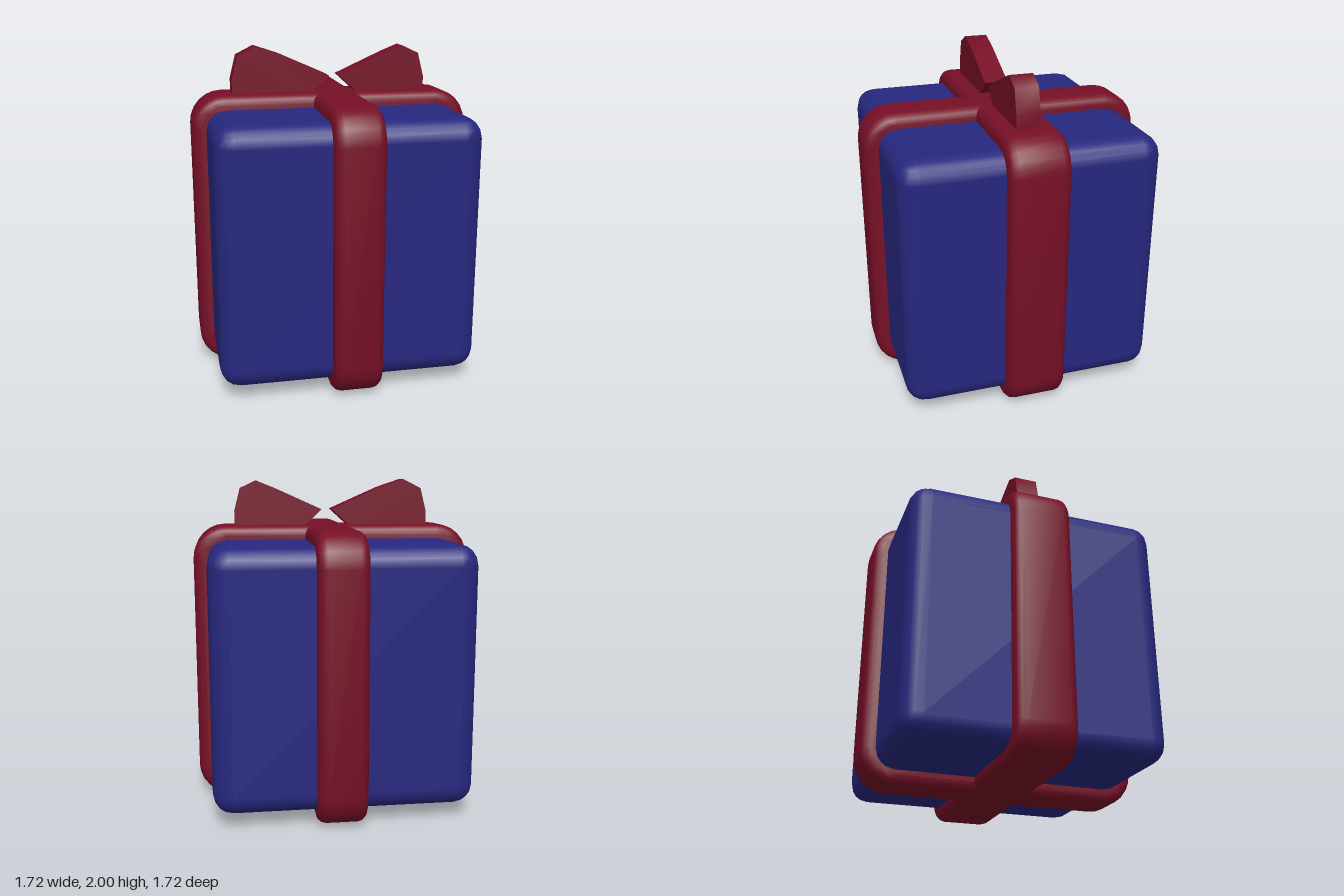
import * as THREE from 'three';
import { toCreasedNormals } from 'three/addons/utils/BufferGeometryUtils.js';
import { RoundedBoxGeometry } from 'three/addons/geometries/RoundedBoxGeometry.js';

const wrapBlue = new THREE.MeshStandardMaterial({ name: 'wrapBlue', color: 0x27277f });
const ribbonRed = new THREE.MeshStandardMaterial({ name: 'ribbonRed', color: 0x760f26 });

// Square outline with rounded corners, centred on the origin
function roundedSquare(half, radius) {
  const s = new THREE.Shape();
  const c = half - radius;
  [[1, 1], [-1, 1], [-1, -1], [1, -1]].forEach(([x, y], i) => {
    s.absarc(x * c, y * c, radius, i * Math.PI / 2, (i + 1) * Math.PI / 2, false);
  });
  return s;
}

// Ribbon wrapped round the box, soft along both edges
function ribbonBand(name, width) {
  const soft = 0.055;
  const geo = new THREE.ExtrudeGeometry(roundedSquare(0.86 - soft, 0.2 - soft), {
    depth: width - 2 * soft, curveSegments: 3,
    bevelSize: soft, bevelThickness: soft, bevelSegments: 3,
  });
  geo.translate(0, 0.86, -width / 2 + soft);
  const mesh = new THREE.Mesh(toCreasedNormals(geo, 0.65), ribbonRed);
  mesh.name = name;
  return mesh;
}

// Flat-sided bow loop cut from a side profile
function bowLoop(name, points) {
  const shape = new THREE.Shape(points.map(([x, y]) => new THREE.Vector2(x, y)));
  const geo = new THREE.ExtrudeGeometry(shape, { depth: 0.142, bevelEnabled: false });
  geo.translate(0, 0, -0.071);
  const mesh = new THREE.Mesh(toCreasedNormals(geo, 0.9), ribbonRed);
  mesh.name = name;
  return mesh;
}

export function createModel() {
  const gift = new THREE.Group();
  gift.name = 'giftBox';

  const box = new THREE.Mesh(new RoundedBoxGeometry(1.55, 1.555, 1.55, 2, 0.12), wrapBlue);
  box.name = 'box';
  box.position.y = 0.86;
  gift.add(box);

  // Crossing ribbons
  gift.add(ribbonBand('sidewaysRibbon', 0.36));
  const lengthways = ribbonBand('lengthwaysRibbon', 0.295);
  lengthways.rotation.y = Math.PI / 2;
  lengthways.position.x = 0.027;
  gift.add(lengthways);

  // Bow
  gift.add(bowLoop('rightBowLoop', [
    [-0.13, 1.7], [-0.003, 1.815], [-0.31, 1.95], [-0.46, 2],
    [-0.57, 1.945], [-0.607, 1.8], [-0.607, 1.7],
  ]));
  gift.add(bowLoop('leftBowLoop', [
    [0.185, 1.7], [0.602, 1.7], [0.602, 1.8], [0.565, 1.945],
    [0.465, 1.992], [0.36, 1.95], [0.06, 1.815],
  ]));
  return gift;
}
